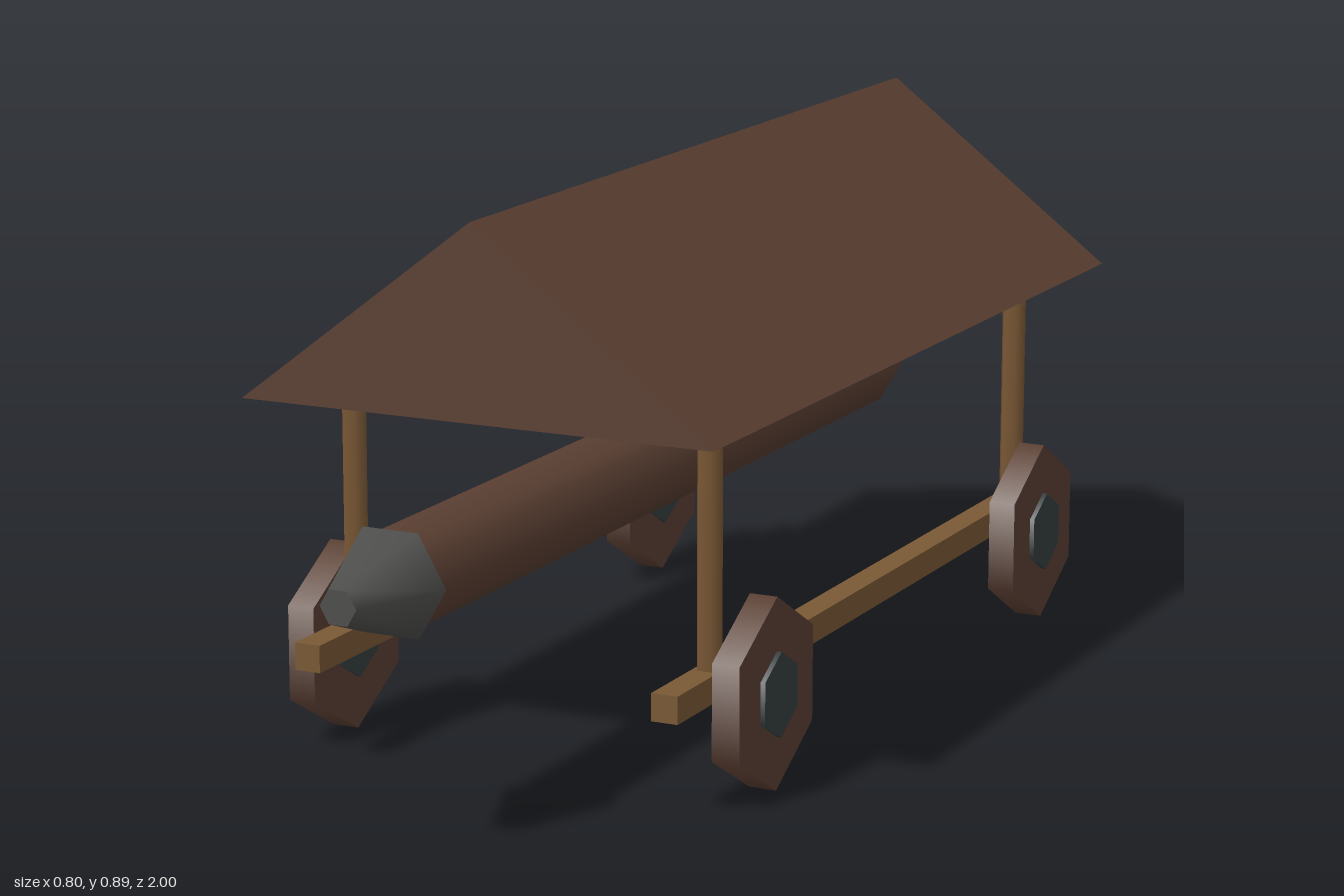
import * as THREE from 'three';

const material = (name, color) => {
  const m = new THREE.MeshStandardMaterial({ color });
  m.name = name;
  return m;
};

export function createModel() {
  const darkWood = material('dark wood', 0x5c4033);
  const lightWood = material('light wood', 0x7a5835);
  const iron = material('iron', 0x4e4e4c);
  const hubMetal = material('hub metal', 0x363d3e);

  const group = new THREE.Group();
  const add = (name, geometry, mat, x, y, z) => {
    const mesh = new THREE.Mesh(geometry, mat);
    mesh.name = name;
    mesh.position.set(x, y, z);
    group.add(mesh);
    return mesh;
  };
  // Six-sided rod with two of its corners on the local x axis
  const hexRod = (top, bottom, length) =>
    new THREE.CylinderGeometry(top, bottom, length, 6, 1, false, Math.PI / 6);

  // Gabled roof: solid triangular prism
  const gable = new THREE.Shape();
  gable.moveTo(-0.4, 0);
  gable.lineTo(0.4, 0);
  gable.lineTo(0, 0.306);
  gable.closePath();
  add('roof', new THREE.ExtrudeGeometry(gable, { depth: 1.6, bevelEnabled: false }), darkWood, 0, 0.587, -1);

  // Hanging ram log with an iron head
  add('ramLog', hexRod(0.077, 0.077, 1.694).rotateX(Math.PI / 2), darkWood, 0, 0.402, -0.01);
  add('ramHead', hexRod(0.03, 0.092, 0.152).rotateX(Math.PI / 2), iron, 0, 0.402, 0.924);

  // Side frames with posts and wheels, mirrored left and right
  const beam = new THREE.BoxGeometry(0.044, 0.044, 1.543);
  const post = hexRod(0.0215, 0.0215, 0.392);
  const wheel = hexRod(0.154, 0.154, 0.046).rotateZ(Math.PI / 2);
  const hub = hexRod(0.068, 0.068, 0.06).rotateZ(Math.PI / 2);
  for (const [side, s] of [['left', 1], ['right', -1]]) {
    add(side + 'Beam', beam, lightWood, s * 0.308, 0.178, -0.198);
    for (const [end, postZ, wheelZ] of [['Front', 0.418, 0.356], ['Back', -0.814, -0.753]]) {
      add(side + end + 'Post', post, lightWood, s * 0.308, 0.394, postZ);
      add(side + end + 'Wheel', wheel, darkWood, s * 0.369, 0.154, wheelZ);
      add(side + end + 'Hub', hub, hubMetal, s * 0.37, 0.154, wheelZ);
    }
  }
  return group;
}
